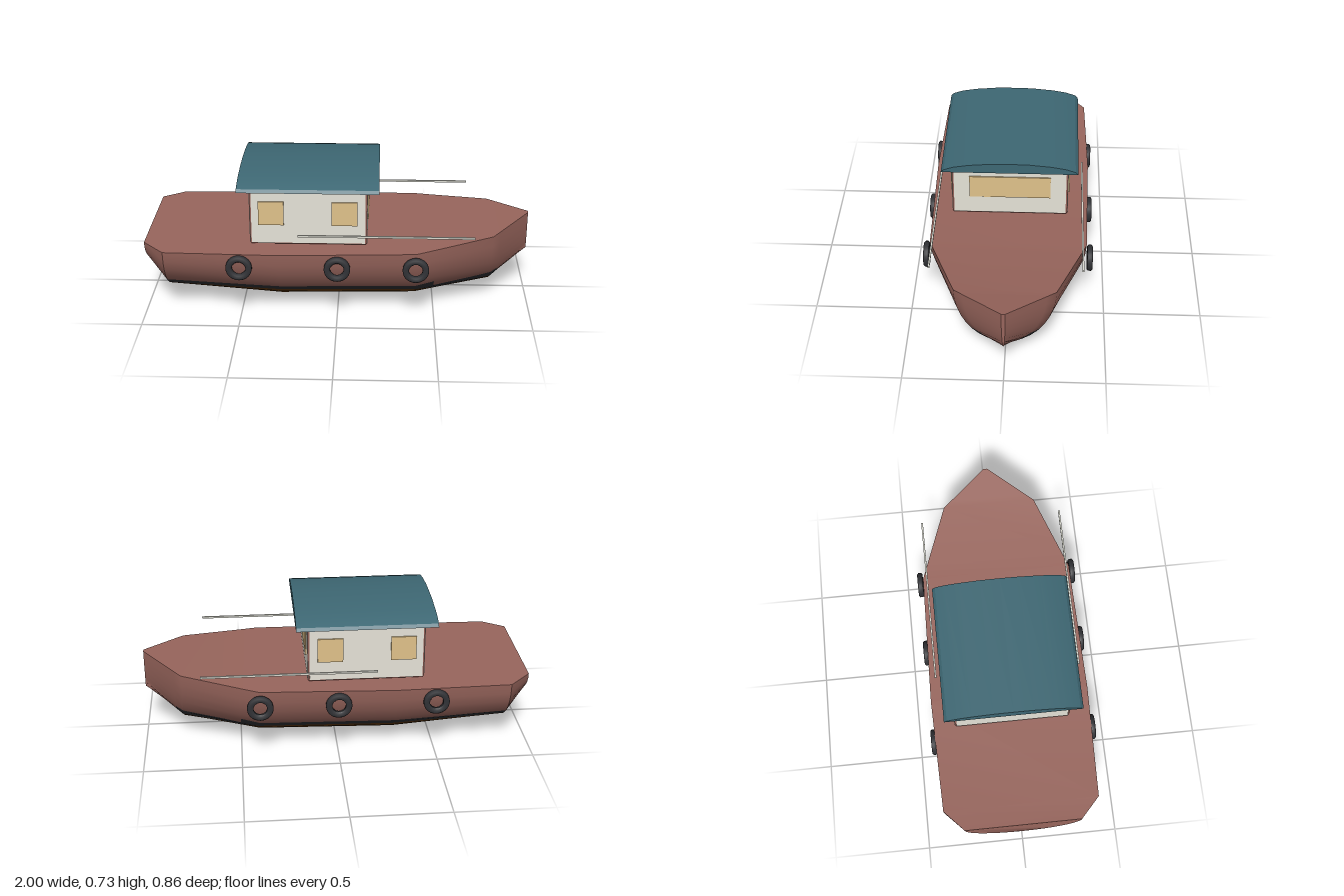
import * as THREE from 'three';
import { toCreasedNormals } from 'three/addons/utils/BufferGeometryUtils.js';
import { RoundedBoxGeometry } from 'three/addons/geometries/RoundedBoxGeometry.js';

function material(name, color) {
  const m = new THREE.MeshStandardMaterial({ color });
  m.name = name;
  return m;
}

function addMesh(parent, name, geometry, mat, x = 0, y = 0, z = 0) {
  const mesh = new THREE.Mesh(geometry, mat);
  mesh.name = name;
  mesh.position.set(x, y, z);
  parent.add(mesh);
  return mesh;
}

// Keep the part of a polygon above (sign 1) or below (sign -1) a sloping line.
// Each corner is { p: position, n: normal }.
function clip(poly, level, sign) {
  const out = [];
  poly.forEach((a, i) => {
    const b = poly[(i + 1) % poly.length];
    const da = sign * (a.p.y - level(a.p.x)), db = sign * (b.p.y - level(b.p.x));
    if (da >= 0) out.push(a);
    if (da * db < 0) {
      const t = da / (da - db);
      out.push({ p: a.p.clone().lerp(b.p, t), n: a.n.clone().lerp(b.n, t).normalize() });
    }
  });
  return out;
}

function polygonsToGeometry(polys) {
  const pos = [], nor = [];
  for (const c of polys) {
    for (let i = 1; i + 1 < c.length; i++) {
      for (const v of [c[0], c[i], c[i + 1]]) {
        pos.push(...v.p.toArray());
        nor.push(...v.n.toArray());
      }
    }
  }
  const g = new THREE.BufferGeometry();
  g.setAttribute('position', new THREE.Float32BufferAttribute(pos, 3));
  g.setAttribute('normal', new THREE.Float32BufferAttribute(nor, 3));
  return g;
}

// Half-elliptic cross-sections from stern to bow, painted in bands by height
function buildHull(group, mats) {
  const N = 18;
  // x, deck height, half width, keel height
  const stations = [
    [-1, 0.373, 0.30, 0.21], [-0.89, 0.363, 0.40, 0.05], [-0.3, 0.363, 0.415, 0],
    [0.4, 0.373, 0.40, 0.012], [0.5, 0.381, 0.3625, 0.028], [0.8, 0.408, 0.25, 0.075],
    [0.84, 0.415, 0.202, 0.107], [1, 0.443, 0.01, 0.235],
  ];
  // Band top at both ends, then band bottom at both ends, for each segment
  const paint = [
    [0.125, 0.125, -1, -1], [0.166, 0.145, 0.127, 0.112], [0.145, 0.15, 0.112, 0.114],
    [0.15, 0.166, 0.112, 0.086], [0.123, 0.166, 0.086, 0.126], [0.166, 0.166, -1, -1],
    [-1, -1, -2, -2],
  ];
  const rings = stations.map(([x, deck, w, keel]) =>
    Array.from({ length: N + 1 }, (_, j) => {
      const t = (Math.PI * j) / N;
      return new THREE.Vector3(x, deck - (deck - keel) * Math.sin(t), w * Math.cos(t));
    }));
  const last = rings.length - 1;

  // Skin triangles, the deck, and flat stern and stem caps
  const tris = [], segments = [];
  const add = (segment, ...corners) => {
    for (let i = 1; i + 1 < corners.length; i++) {
      tris.push(corners[0], corners[i], corners[i + 1]);
      segments.push(segment);
    }
  };
  for (let i = 0; i < last; i++) {
    const a = rings[i], b = rings[i + 1];
    for (let j = 0; j < N; j++) add(i, a[j], a[j + 1], b[j + 1], b[j]);
    add(-1, a[0], b[0], b[N], a[N]);
  }
  add(-1, ...[...rings[0]].reverse());
  add(-1, ...rings[last]);

  // Shade the whole skin before it is divided by colour
  const skin = toCreasedNormals(new THREE.BufferGeometry().setFromPoints(tris), 0.62);
  const normals = skin.getAttribute('normal');
  const topside = [], band = [], bottom = [];
  segments.forEach((s, k) => {
    const tri = [0, 1, 2].map((c) => ({
      p: tris[3 * k + c],
      n: new THREE.Vector3().fromBufferAttribute(normals, 3 * k + c),
    }));
    if (s < 0) {
      topside.push(tri);
      return;
    }
    const [h0, h1, l0, l1] = paint[s];
    const x0 = stations[s][0], x1 = stations[s + 1][0];
    const high = (x) => THREE.MathUtils.mapLinear(x, x0, x1, h0, h1);
    const low = (x) => THREE.MathUtils.mapLinear(x, x0, x1, l0, l1);
    topside.push(clip(tri, high, 1));
    band.push(clip(clip(tri, high, -1), low, 1));
    bottom.push(clip(tri, low, -1));
  });
  addMesh(group, 'hullTopsidesAndDeck', polygonsToGeometry(topside), mats.red);
  addMesh(group, 'waterlineBand', polygonsToGeometry(band), mats.black);
  addMesh(group, 'hullBottom', polygonsToGeometry(bottom), mats.brown);
}

function buildCabin(group, mats) {
  const cabin = new THREE.Group();
  cabin.name = 'cabin';
  group.add(cabin);
  const x = -0.15, y = 0.524, L = 0.6, H = 0.3, W = 0.6;

  // Frame showing at the corners, with wall panels on each face
  addMesh(cabin, 'cabinFrame', new RoundedBoxGeometry(L, H, W, 3, 0.01), mats.red, x, y, 0);
  const t = 0.004;
  for (const s of [1, -1]) {
    addMesh(cabin, 'sideWall', new THREE.BoxGeometry(L - 0.018, H - 0.018, t), mats.white, x, y, s * W / 2);
    addMesh(cabin, 'endWall', new THREE.BoxGeometry(t, H - 0.018, W - 0.018), mats.white, x + s * L / 2, y, 0);
    for (const wx of [-0.34, 0.035]) {
      addMesh(cabin, 'sideWindow', new THREE.BoxGeometry(0.13, 0.128, 0.009), mats.window, wx, 0.548, s * 0.3045);
    }
  }
  addMesh(cabin, 'frontWindow', new THREE.BoxGeometry(0.009, 0.128, 0.42), mats.window, 0.1535, 0.548, 0);

  // Arched roof: cross-section extruded along the boat
  const half = [[0.35, 0.676], [0.335, 0.691], [0.285, 0.708], [0.21, 0.721], [0.1, 0.731]];
  const outline = [...half, [0, 0.733], ...half.map(([a, b]) => [-a, b]).reverse()];
  const shape = new THREE.Shape(outline.map(([a, b]) => new THREE.Vector2(a, b)));
  const roof = new THREE.ExtrudeGeometry(shape, { depth: 0.72, bevelEnabled: false });
  roof.rotateY(Math.PI / 2);
  addMesh(cabin, 'roof', toCreasedNormals(roof, 0.4), mats.teal, -0.51, 0, 0);
}

export function createModel() {
  const model = new THREE.Group();
  model.name = 'boat';
  const mats = {
    red: material('hullRed', 0x99665d),
    black: material('rubberBlack', 0x313236),
    brown: material('bottomBrown', 0x643a08),
    white: material('wallWhite', 0xe6e3d8),
    window: material('windowAmber', 0xe0c28a),
    teal: material('roofTeal', 0x3e6874),
    grey: material('railGrey', 0xdcdcd2),
  };

  buildHull(model, mats);
  buildCabin(model, mats);

  // Tyre fenders: chamfered ring profile turned about z
  const profile = [
    [0.035, -0.007], [0.042, -0.014], [0.060, -0.014], [0.067, -0.007],
    [0.067, 0.007], [0.060, 0.014], [0.042, 0.014], [0.035, 0.007], [0.035, -0.007],
  ].map(([r, h]) => new THREE.Vector2(r, h));
  const tyre = new THREE.LatheGeometry(profile, 28);
  tyre.rotateX(Math.PI / 2);
  const rail = new THREE.BoxGeometry(0.895, 0.01, 0.009);
  for (const s of [1, -1]) {
    for (const x of [-0.5, 0, 0.4]) addMesh(model, 'tyreFender', tyre, mats.black, x, 0.292, s * 0.418);
    addMesh(model, 'sideRail', rail, mats.grey, 0.2475, 0.456, s * 0.377);
  }
  return model;
}
